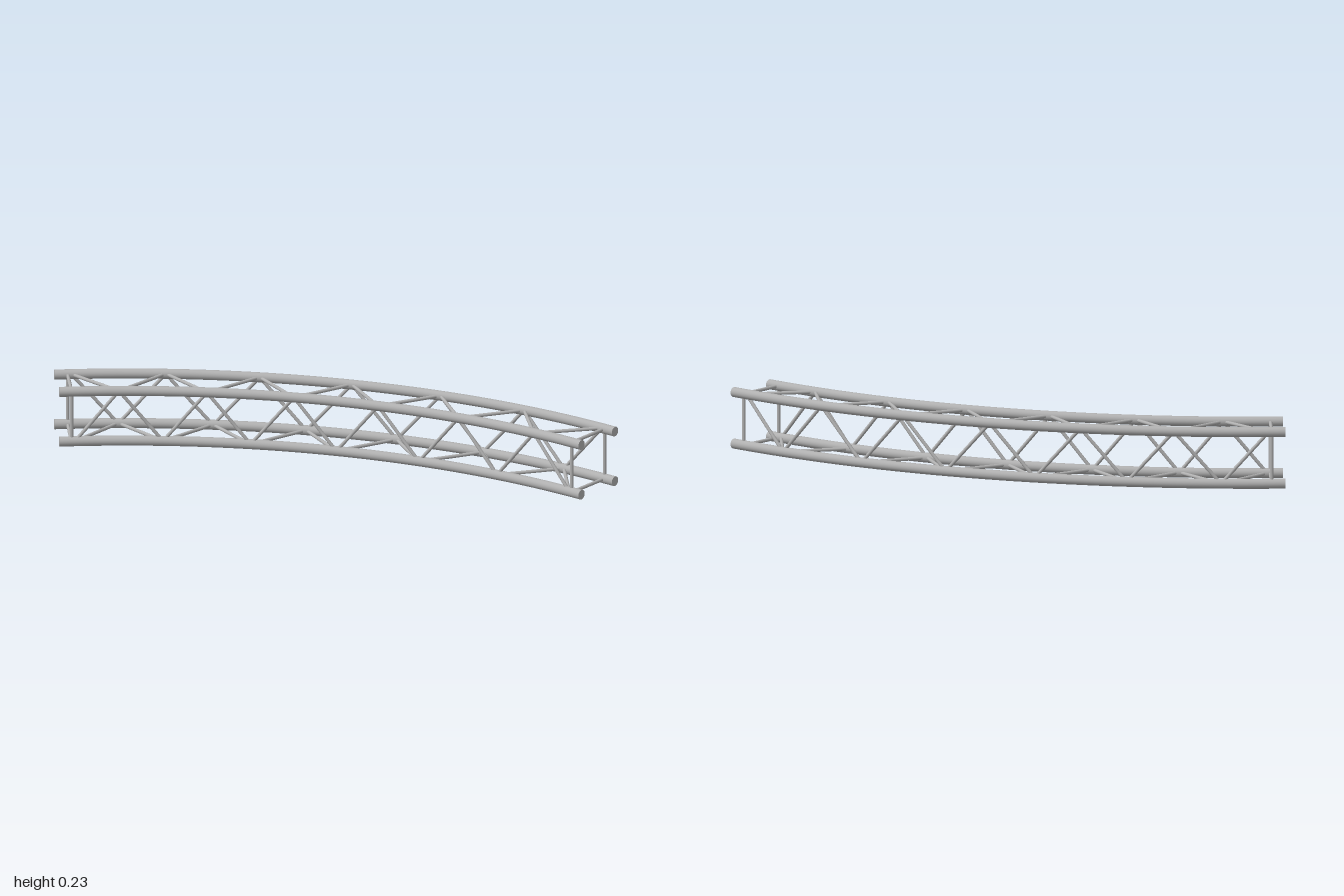
import * as THREE from 'three';

const CX = -2.333, CZ = 1;            // centre of the bend
const INNER = 2.617, OUTER = 2.81;    // bend radii of the chords
const LOW = 0.0185, HIGH = 0.2115;    // chord heights
const SWEEP = Math.PI / 4;
const CHORD_R = 0.0185, BAR_R = 0.0065;

const at = (radius, y, a) =>
  new THREE.Vector3(CX + radius * Math.cos(a), y, CZ - radius * Math.sin(a));

class BendCurve extends THREE.Curve {
  constructor(radius, y) {
    super();
    this.radius = radius;
    this.y = y;
  }
  getPoint(t, target = new THREE.Vector3()) {
    return target.copy(at(this.radius, this.y, t * SWEEP));
  }
}

export function createModel() {
  const model = new THREE.Group();
  model.name = 'curvedTruss';
  const metal = new THREE.MeshStandardMaterial({ color: 0xb0b0b0 });
  metal.name = 'aluminium';

  const add = (name, geometry) => {
    const mesh = new THREE.Mesh(geometry, metal);
    mesh.name = name;
    model.add(mesh);
    return mesh;
  };

  // Straight round bar between two points
  const bar = (name, p, q) => {
    const dir = q.clone().sub(p);
    const mesh = add(name, new THREE.CylinderGeometry(BAR_R, BAR_R, dir.length(), 12, 1, true));
    mesh.position.copy(p).add(q).multiplyScalar(0.5);
    mesh.quaternion.setFromUnitVectors(new THREE.Vector3(0, 1, 0), dir.normalize());
  };

  // Four main chords with end caps
  for (const radius of [INNER, OUTER]) {
    for (const y of [LOW, HIGH]) {
      add('chord', new THREE.TubeGeometry(new BendCurve(radius, y), 48, CHORD_R, 20));
      for (const a of [0, SWEEP]) {
        const cap = add('chordCap', new THREE.CircleGeometry(CHORD_R, 20));
        cap.position.copy(at(radius, y, a));
        cap.rotation.y = a === 0 ? 0 : a + Math.PI;
      }
    }
  }

  // Square frame near each end
  const corners = [[INNER, LOW], [OUTER, LOW], [OUTER, HIGH], [INNER, HIGH]];
  for (const a of [0.0175, SWEEP - 0.0175]) {
    corners.forEach((c, i) => {
      const d = corners[(i + 1) % 4];
      bar('endFrameBar', at(...c, a), at(...d, a));
    });
  }

  // Zigzag lacing: [name, corner at even nodes, corner at odd nodes]
  const faces = [
    ['innerLacing', [INNER, LOW], [INNER, HIGH]],
    ['outerLacing', [OUTER, HIGH], [OUTER, LOW]],
    ['topLacing', [OUTER, HIGH], [INNER, HIGH]],
    ['bottomLacing', [INNER, LOW], [OUTER, LOW]],
  ];
  const BAYS = 12, START = 0.022;
  const step = (SWEEP - 2 * START) / BAYS;
  for (const [name, even, odd] of faces) {
    const node = (i) => at(...(i % 2 ? odd : even), START + i * step);
    for (let i = 0; i < BAYS; i++) bar(name, node(i), node(i + 1));
  }

  return model;
}
